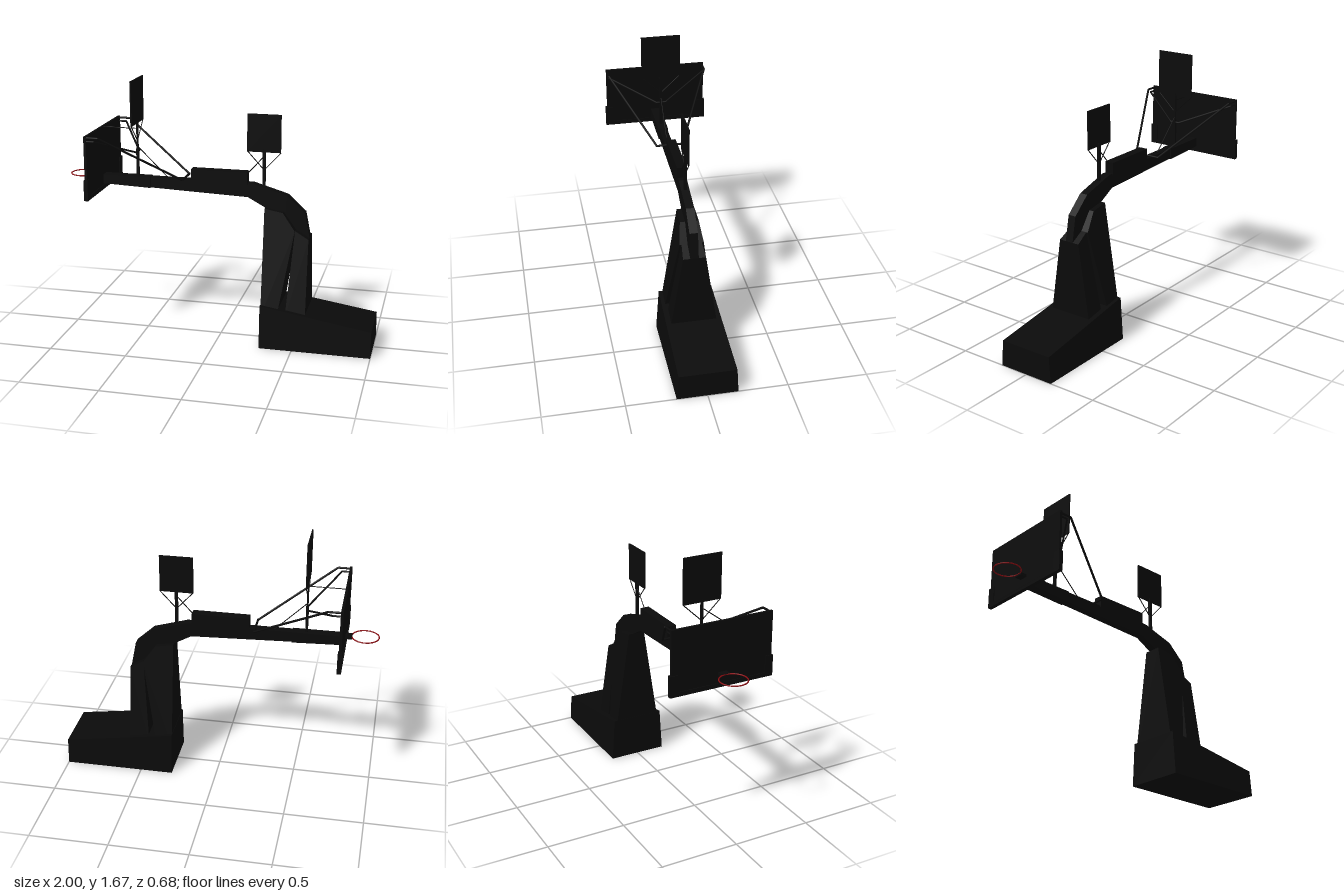
import * as THREE from 'three';

const black = new THREE.MeshStandardMaterial({ color: 0x0a0a0a });
const red = new THREE.MeshStandardMaterial({ color: 0x8a0a10 });

export function createModel() {
  const model = new THREE.Group();

  const add = (name, geometry, material = black) => {
    const mesh = new THREE.Mesh(geometry, material);
    mesh.name = name;
    model.add(mesh);
    return mesh;
  };

  // Box given by its limits on each axis
  const box = (name, [x0, x1], [y0, y1], [z0, z1]) =>
    add(name, new THREE.BoxGeometry(x1 - x0, y1 - y0, z1 - z0))
      .position.set((x0 + x1) / 2, (y0 + y1) / 2, (z0 + z1) / 2);

  // Side profile extruded across z, with a half width that depends on height
  const slab = (name, profile, halfWidth) => {
    const shape = new THREE.Shape(profile.map(([x, y]) => new THREE.Vector2(x, y)));
    const geometry = new THREE.ExtrudeGeometry(shape, { depth: 2, bevelEnabled: false });
    geometry.translate(0, 0, -1);
    const p = geometry.attributes.position;
    for (let i = 0; i < p.count; i++) p.setZ(i, p.getZ(i) * halfWidth(p.getY(i)));
    geometry.computeVertexNormals();
    return add(name, geometry);
  };

  // Straight round bar between two points
  const bar = (name, a, b, radius) => {
    const from = new THREE.Vector3(...a), to = new THREE.Vector3(...b);
    const dir = to.clone().sub(from);
    const mesh = add(name, new THREE.CylinderGeometry(radius, radius, dir.length(), 8));
    mesh.position.copy(from).add(to).multiplyScalar(0.5);
    mesh.quaternion.setFromUnitVectors(new THREE.Vector3(0, 1, 0), dir.normalize());
  };
  const rail = (name, points, radius) => {
    for (let i = 1; i < points.length; i++) bar(name, points[i - 1], points[i], radius);
  };

  // Weighted base and the two tapered columns
  slab('base', [[0.29, 0], [1, 0], [1, 0.17], [0.29, 0.28]], y => 0.19 - y * 0.065);
  const taper = y => 0.148 - (y - 0.28) * 0.152;
  slab('frontColumn', [[0.292, 0.2], [0.395, 0.2], [0.49, 0.76], [0.41, 0.87], [0.292, 0.89]], taper);
  slab('rearColumn', [[0.447, 0.2], [0.577, 0.2], [0.577, 0.71], [0.49, 0.76]], y => taper(y) - 0.012);

  // Curved arm, its front sleeve and the box on top
  slab('arm', [
    [-0.78, 0.985], [0.18, 0.95], [0.29, 0.89], [0.42, 0.83], [0.49, 0.71],
    [0.577, 0.71], [0.545, 0.87], [0.43, 0.975], [0.21, 1.04], [-0.78, 1.04],
  ], () => 0.026);
  slab('armSleeve', [[-0.78, 0.983], [-0.46, 0.971], [-0.46, 1.042], [-0.78, 1.042]], () => 0.032);
  box('equipmentBox', [-0.19, 0.175], [1.03, 1.11], [-0.03, 0.03]);

  // Backboard with padded lower edge
  box('backboard', [-0.79, -0.774], [0.95, 1.355], [-0.332, 0.332]);
  box('backboardPad', [-0.795, -0.769], [0.948, 1.08], [0.29, 0.342]);
  box('backboardPad', [-0.795, -0.769], [0.948, 1.08], [-0.342, -0.29]);
  box('backboardPad', [-0.795, -0.769], [0.948, 0.975], [-0.342, 0.342]);

  // Rim and bracket
  const rim = add('rim', new THREE.TorusGeometry(0.084, 0.004, 8, 40), red);
  rim.rotation.x = Math.PI / 2;
  rim.position.set(-0.913, 1.038, 0);
  slab('rimBracket', [[-0.832, 1.026], [-0.78, 1.024], [-0.78, 1.042], [-0.832, 1.042]], () => 0.028);

  // Backboard braces, mirrored
  for (const s of [-1, 1]) {
    rail('upperBrace', [[-0.775, 1.345, 0.322 * s], [-0.7, 1.345, 0.322 * s],
      [-0.23, 1.05, 0.085 * s]], 0.007);
    rail('lowerBrace', [[-0.775, 1.322, 0.322 * s], [-0.727, 1.322, 0.322 * s],
      [-0.548, 1.2, 0.03 * s]], 0.006);
  }
  bar('braceCrossbar', [-0.23, 1.05, -0.09], [-0.23, 1.05, 0.09], 0.007);
  bar('braceJoint', [-0.548, 1.2, -0.035], [-0.548, 1.2, 0.035], 0.007);

  // Display over the backboard
  box('frontDisplay', [-0.552, -0.544], [1.385, 1.67], [-0.127, 0.127]);
  box('frontPost', [-0.556, -0.54], [1.03, 1.22], [-0.009, 0.009]);
  box('frontPostTop', [-0.553, -0.543], [1.2, 1.4], [-0.008, 0.008]);
  bar('frontPostStrut', [-0.78, 1.35, 0], [-0.548, 1.35, 0], 0.003);
  bar('frontPostStay', [-0.548, 1.235, 0], [-0.35, 1.04, 0], 0.003);

  // Display over the column
  box('rearDisplay', [0.168, 0.382], [1.24, 1.48], [-0.005, 0.005]);
  box('rearPost', [0.268, 0.286], [0.98, 1.26], [-0.009, 0.009]);
  bar('rearPostStay', [0.17, 1.095, 0], [0.277, 1.215, 0], 0.003);

  // Diagonal struts under both displays
  for (const s of [-1, 1]) {
    bar('frontDisplayStrut', [-0.548, 1.387, 0.125 * s], [-0.548, 1.27, 0], 0.003);
    bar('rearDisplayStrut', [0.277 + 0.105 * s, 1.24, 0], [0.277, 1.125, 0], 0.003);
  }

  return model;
}
